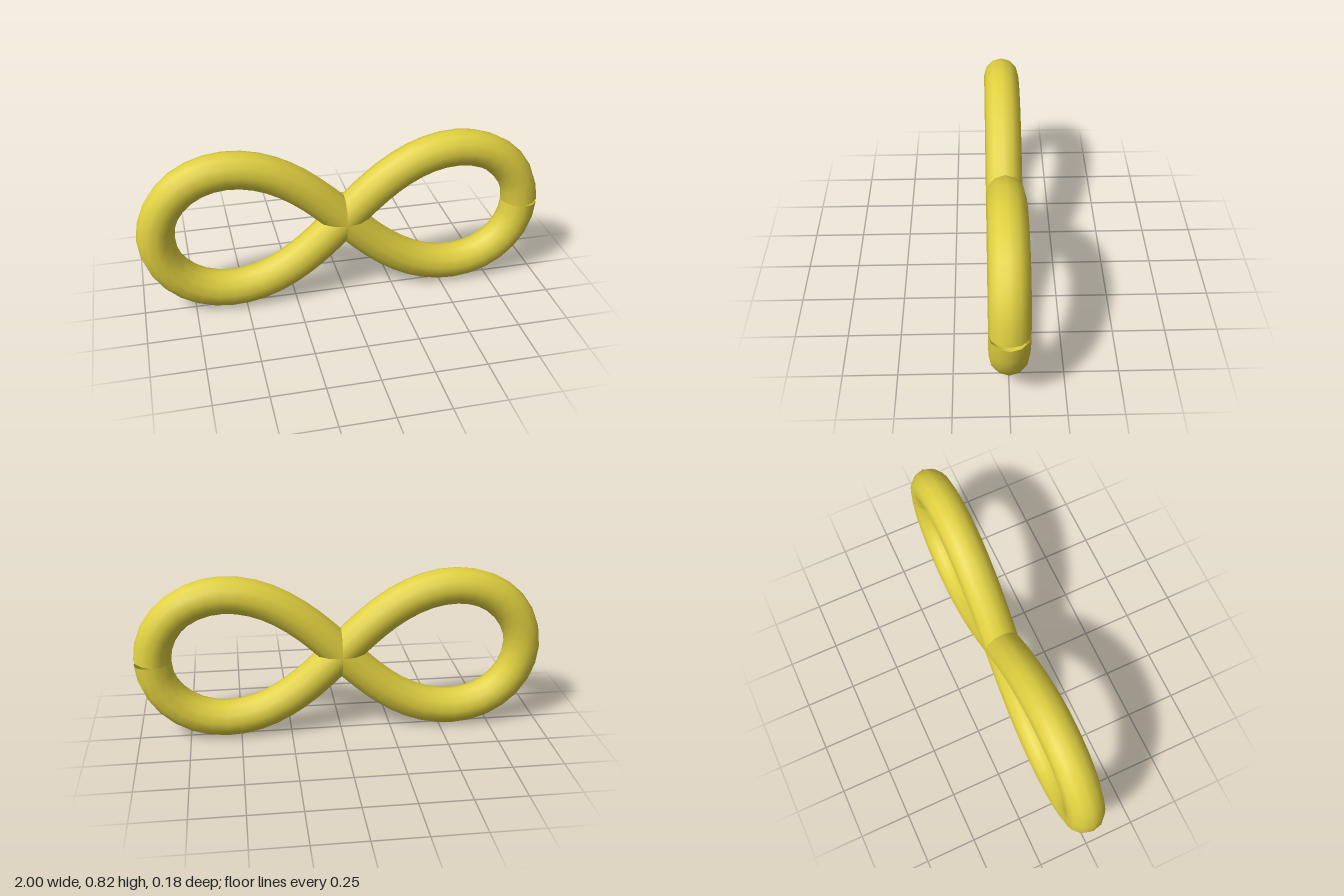
import * as THREE from 'three';

const REACH = 0.91;   // centre line half width
const RADIUS = 0.09;  // tube radius
const MID = 0.412;    // height of the crossing

export function createModel() {
  const group = new THREE.Group();
  group.name = 'infinitySymbol';

  const yellow = new THREE.MeshStandardMaterial({ color: 0xe0d040, side: THREE.DoubleSide });
  yellow.name = 'yellow';

  // Figure-eight centre line (lemniscate), starting and ending at the +x tip
  const points = [];
  const steps = 72;
  for (let i = 0; i <= steps; i++) {
    const t = (i / steps) * Math.PI * 2;
    const d = 1 + Math.sin(t) ** 2;
    points.push(new THREE.Vector3(
      (REACH * Math.cos(t)) / d,
      MID + (REACH * Math.sin(t) * Math.cos(t)) / d,
      0
    ));
  }
  const path = new THREE.CatmullRomCurve3(points);

  // Open-ended tube: its two ends meet in a small wedge-shaped slit at the tip
  const loop = new THREE.Mesh(new THREE.TubeGeometry(path, 64, RADIUS, 12, false), yellow);
  loop.name = 'figureEightTube';
  group.add(loop);

  return group;
}
